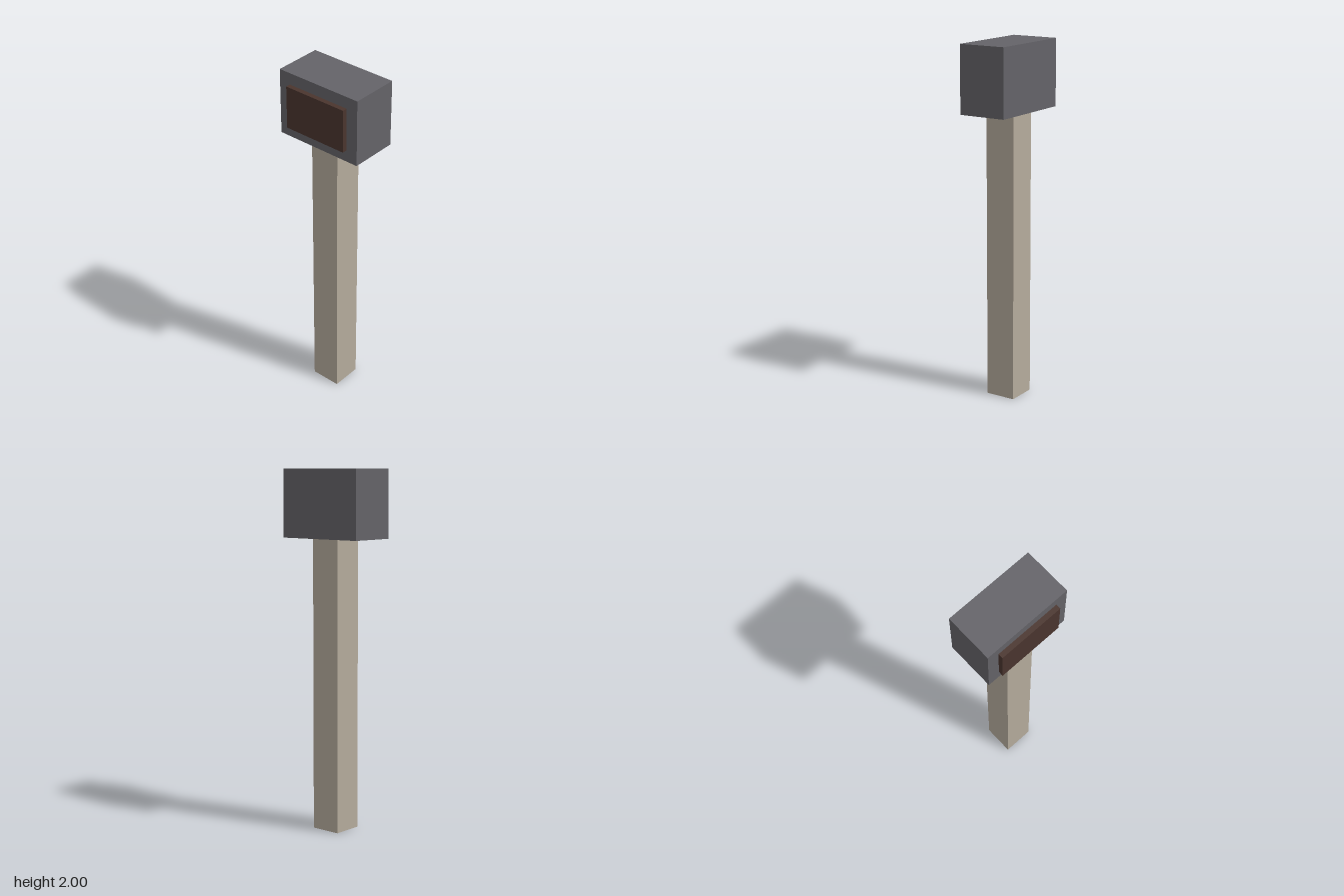
import * as THREE from 'three';

export function createModel() {
  const model = new THREE.Group();

  // Adds a box given its size, centre and colour
  const addBox = (name, size, centre, color) => {
    const mesh = new THREE.Mesh(
      new THREE.BoxGeometry(...size),
      new THREE.MeshStandardMaterial({ color })
    );
    mesh.name = name;
    mesh.position.set(...centre);
    model.add(mesh);
  };

  // Square post standing on the ground
  addBox('post', [0.174, 1.625, 0.174], [0, 0.8125, -0.014], 0xb5ab9c);
  // Head block on top of the post
  addBox('head', [0.516, 0.375, 0.275], [0, 1.8125, -0.0145], 0x646368);
  // Raised panel on the front of the head, sunk slightly into it
  addBox('frontPanel', [0.38, 0.243, 0.04], [0, 1.8125, 0.131], 0x4a352e);

  return model;
}
